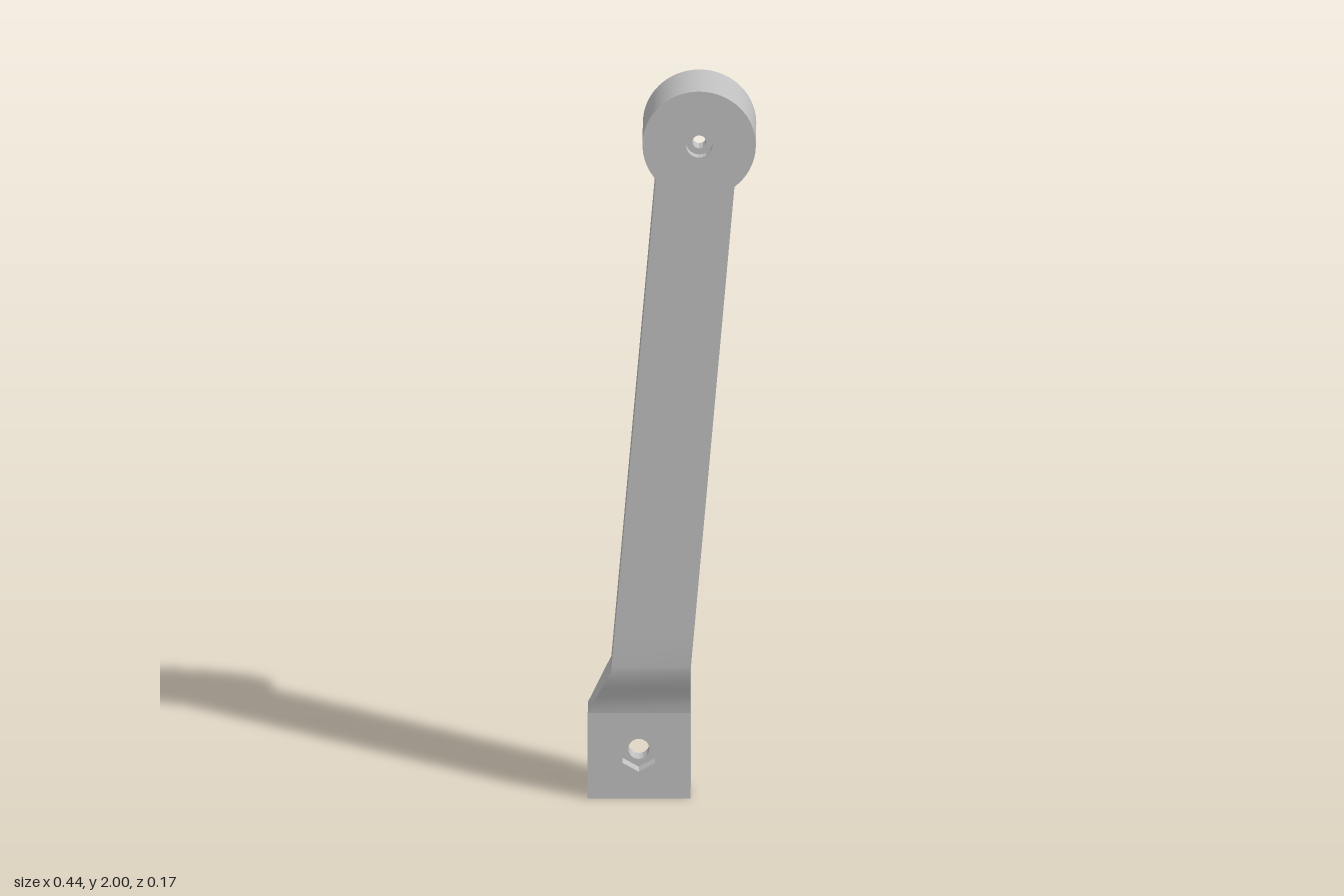
import * as THREE from 'three';
import { toCreasedNormals } from 'three/addons/utils/BufferGeometryUtils.js';

const grey = new THREE.MeshStandardMaterial({ color: 0xc0c0c0 });
grey.name = 'plain grey';

function part(name, geometry, crease = 0.6) {
  const mesh = new THREE.Mesh(toCreasedNormals(geometry, crease), grey);
  mesh.name = name;
  return mesh;
}

function circle(Type, x, y, r) {
  return new Type().absarc(x, y, r, 0, Math.PI * 2, false);
}

function hexagon(x, y, r, turn) {
  const pts = [];
  for (let i = 0; i < 6; i++) {
    const a = turn + i * Math.PI / 3;
    pts.push(new THREE.Vector2(x + r * Math.cos(a), y + r * Math.sin(a)));
  }
  return new THREE.Path(pts);
}

// Flat slab between two depths with one hole through it
function slab(name, shape, hole, z0, z1) {
  shape.holes.push(hole);
  const g = new THREE.ExtrudeGeometry(shape, { depth: z1 - z0, bevelEnabled: false, curveSegments: 40 });
  return part(name, g.translate(0, 0, z0));
}

// Cross-section of the arm at height y, counter-clockwise from above
function section(y) {
  const lean = Math.max(0, y - 0.37) * 0.0855;
  const left = -0.163 + lean - 0.062 * Math.max(0, (0.37 - y) / 0.13);
  const right = 0.047 + lean;
  const front = THREE.MathUtils.lerp(0.045, 0.087, THREE.MathUtils.smoothstep(y, 0.235, 0.385));
  const side = -0.042;
  const back = side - 0.02 * THREE.MathUtils.clamp((y - 0.365) / 0.115, 0, 1);
  return [[left, front], [right, front], [right, side], [right - 0.01, back], [left + 0.01, back], [left, side]]
    .map(([x, z]) => new THREE.Vector3(x, y, z));
}

function armGeometry() {
  const rings = [0.24, 0.265, 0.29, 0.315, 0.34, 0.37, 0.385, 0.48, 1.755].map(section);
  const pts = [];
  for (let k = 0; k + 1 < rings.length; k++) {
    for (let i = 0; i < 6; i++) {
      const j = (i + 1) % 6;
      const [a, b, c, d] = [rings[k][i], rings[k][j], rings[k + 1][j], rings[k + 1][i]];
      pts.push(a, b, c, a, c, d);
    }
  }
  return new THREE.BufferGeometry().setFromPoints(pts);
}

export function createModel() {
  const group = new THREE.Group();
  group.name = 'crankArm';

  // Round head: screw recess in front, hexagonal socket behind
  const hx = 0.07, hy = 1.85;
  const disc = () => circle(THREE.Shape, hx, hy, 0.15);
  group.add(slab('headFront', disc(), circle(THREE.Path, hx, hy, 0.035), 0.062, 0.087));
  group.add(slab('headWeb', disc(), circle(THREE.Path, hx, hy, 0.018), 0.02, 0.062));
  group.add(slab('headSocket', disc(), hexagon(hx, hy, 0.097, 0), -0.088, 0.02));

  // Leaning arm with chamfered back edges
  group.add(part('arm', armGeometry(), 0.35));

  // Square foot: nut recess in front, bolt hole behind
  const foot = () => new THREE.Shape([[-0.225, 0], [0.047, 0], [0.047, 0.24], [-0.225, 0.24]]
    .map(([x, y]) => new THREE.Vector2(x, y)));
  group.add(slab('footFront', foot(), hexagon(-0.09, 0.125, 0.05, Math.PI / 6), 0.005, 0.045));
  group.add(slab('footBack', foot(), circle(THREE.Path, -0.09, 0.125, 0.028), -0.042, 0.005));

  return group;
}
